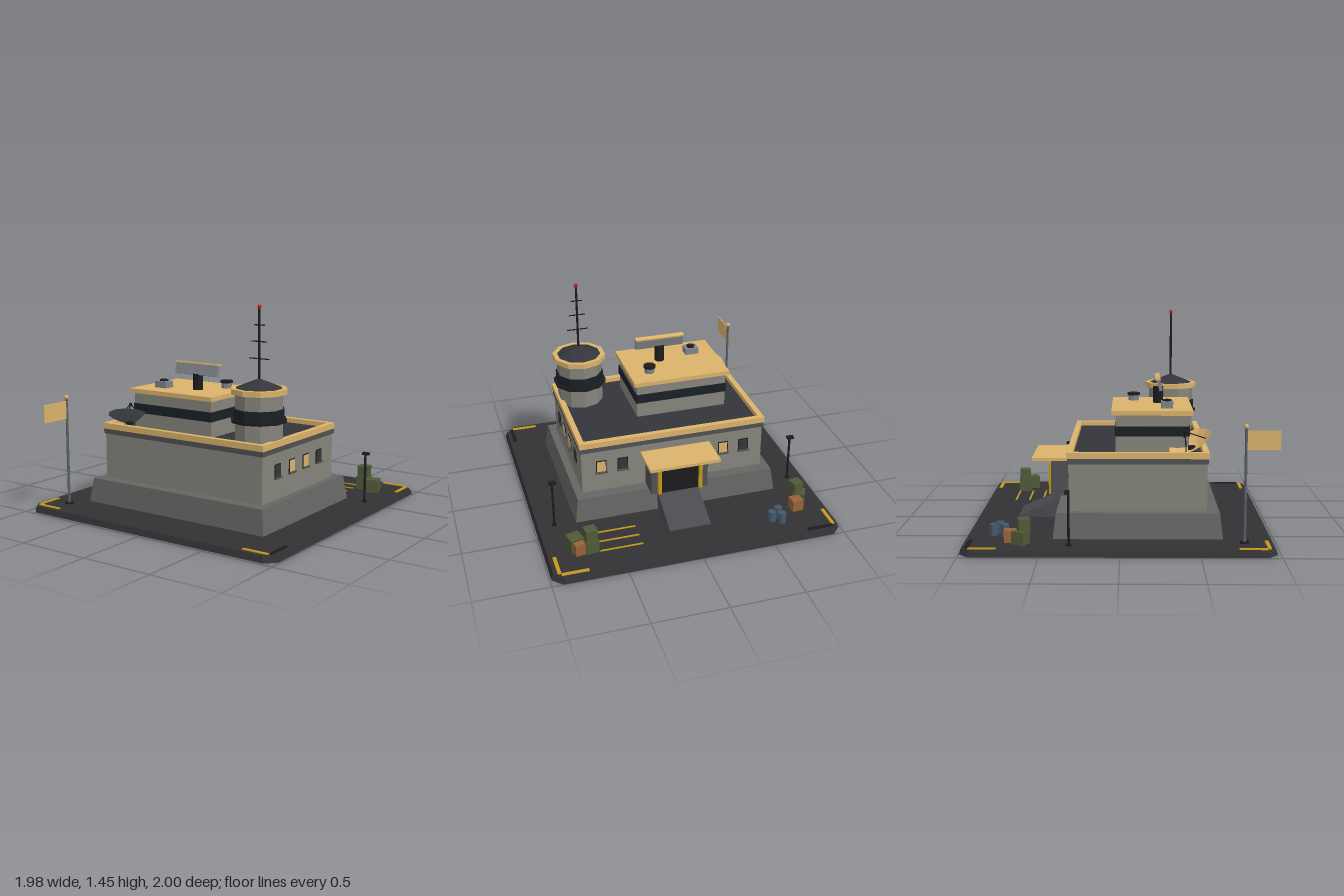
import * as THREE from 'three';

const mat = (color, side = THREE.FrontSide) =>
  new THREE.MeshStandardMaterial({ color, flatShading: true, side });

const M = {
  ground: mat(0x323234), plinth: mat(0x666563), wall: mat(0x85847c), trim: mat(0x505152),
  deck: mat(0x34353a), tan: mat(0xdbb36c), tanThin: mat(0xdbb36c, THREE.DoubleSide),
  glass: mat(0x1a2026), black: mat(0x1c1c1e), steel: mat(0x80848a), pole: mat(0x5c6066),
  yellow: mat(0xc4981c), red: mat(0xc81e1e), green: mat(0x4f5a38), brown: mat(0x9a6238),
  blue: mat(0x43586c), ramp: mat(0x4b4b4f), dishBack: mat(0x5c6064),
};

export function createModel() {
  const root = new THREE.Group();

  const add = (name, geo, material, x = 0, y = 0, z = 0, parent = root) => {
    const mesh = new THREE.Mesh(geo, material);
    mesh.name = name;
    mesh.position.set(x, y, z);
    parent.add(mesh);
    return mesh;
  };
  // box given by its x, y and z ranges
  const box = (name, m, x0, x1, y0, y1, z0, z1, parent) =>
    add(name, new THREE.BoxGeometry(x1 - x0, y1 - y0, z1 - z0), m,
      (x0 + x1) / 2, (y0 + y1) / 2, (z0 + z1) / 2, parent);
  // upright cylinder between two heights
  const cyl = (name, m, x, z, y0, y1, r, sides = 8, rTop = r, parent = root) =>
    add(name, new THREE.CylinderGeometry(rTop, r, y1 - y0, sides), m, x, (y0 + y1) / 2, z, parent);
  // narrow the upper vertices of a geometry
  const taper = (geo, sx, sz) => {
    const p = geo.attributes.position;
    geo.computeBoundingBox();
    const mid = (geo.boundingBox.min.y + geo.boundingBox.max.y) / 2;
    for (let i = 0; i < p.count; i++)
      if (p.getY(i) > mid) p.setXYZ(i, p.getX(i) * sx, p.getY(i), p.getZ(i) * sz);
    geo.computeVertexNormals();
    return geo;
  };
  const upright = (shape, depth) =>
    new THREE.ExtrudeGeometry(shape, { depth, bevelEnabled: false }).rotateX(-Math.PI / 2);

  // ground slab with cut corners
  const a = 0.99, c = 0.925;
  const slab = new THREE.Shape([[a, -c], [a, c], [c, a], [-c, a], [-a, c], [-a, -c], [-c, -a], [c, -a]]
    .map(([x, y]) => new THREE.Vector2(x, y)));
  add('groundSlab', taper(upright(slab, 0.04), 0.985, 0.985), M.ground, 0, 0, -0.01);

  // corner and parking markings
  for (const sx of [-1, 1]) for (const sz of [-1, 1]) {
    const x = sx * 0.94 - 0.003, z = sz * 0.94 - 0.012;
    const worn = sx * sz > 0;
    add('cornerMark', new THREE.BoxGeometry(0.18, 0.008, 0.024),
      worn && sx < 0 ? M.black : M.yellow, sx * 0.84 - 0.003, 0.042, z);
    add('cornerMark', new THREE.BoxGeometry(0.024, 0.008, 0.175),
      worn && sx > 0 ? M.black : M.yellow, x, 0.042, sz * 0.84 - 0.014);
  }
  for (const z of [-0.785, -0.685, -0.585]) box('parkingLine', M.yellow, 0.345, 0.635, 0.038, 0.045, z - 0.006, z + 0.006);

  // main building
  const cz = 0.113;
  add('plinth', taper(new THREE.BoxGeometry(1.44, 0.17, 1.09), 0.966, 0.963), M.plinth, 0, 0.12, cz);
  box('mainWalls', M.wall, -0.645, 0.645, 0.2, 0.515, cz - 0.446, cz + 0.446);
  box('roofTrim', M.trim, -0.655, 0.655, 0.515, 0.55, cz - 0.454, cz + 0.454);
  box('roofDeck', M.deck, -0.63, 0.63, 0.545, 0.558, cz - 0.43, cz + 0.43);
  const rect = (S, w, d) => new S([[-w, -d], [w, -d], [w, d], [-w, d]].map(([x, y]) => new THREE.Vector2(x, y)));
  const frame = rect(THREE.Shape, 0.658, 0.458);
  frame.holes.push(rect(THREE.Path, 0.62, 0.42));
  add('parapet', upright(frame, 0.04), M.tan, 0, 0.55, cz);

  // windows with sills, on the left side and the back
  const windowAt = (x, z, turn, lit) => {
    const g = new THREE.Group();
    g.name = 'window';
    g.position.set(x, 0.393, z);
    g.rotation.y = turn;
    root.add(g);
    add('windowFrame', new THREE.BoxGeometry(0.072, 0.09, 0.008), M.black, 0, 0, 0, g);
    add('windowPane', new THREE.BoxGeometry(0.06, 0.078, 0.012), lit ? M.tan : M.deck, 0, 0, 0, g);
    add('windowSill', new THREE.BoxGeometry(0.085, 0.009, 0.024), M.trim, 0, -0.046, 0.004, g);
  };
  [0.38, 0.205, 0.03, -0.145].forEach((z, i) => windowAt(0.646, z, Math.PI / 2, i === 1 || i === 2));
  [0.51, 0.36, -0.36, -0.51].forEach((x, i) => windowAt(x, cz - 0.447, Math.PI, i % 2 === 0));

  // rear entrance
  box('entranceBlock', M.trim, -0.2, 0.2, 0.2, 0.455, -0.48, -0.32);
  box('entranceDoor', M.black, -0.13, 0.13, 0.205, 0.41, -0.488, -0.47);
  for (const s of [-1, 1]) box('doorPost', M.yellow, s * 0.145 - 0.012, s * 0.145 + 0.012, 0.205, 0.42, -0.5, -0.475);
  box('doorLintel', M.yellow, -0.157, 0.157, 0.41, 0.428, -0.498, -0.475);
  box('canopy', M.tan, -0.247, 0.243, 0.455, 0.477, -0.605, -0.36);
  const wedge = new THREE.Shape([[0.41, 0.038], [0.71, 0.038], [0.71, 0.046], [0.43, 0.17], [0.41, 0.17]]
    .map(([x, y]) => new THREE.Vector2(x, y)));
  add('ramp', new THREE.ExtrudeGeometry(wedge, { depth: 0.29, bevelEnabled: false })
    .rotateY(Math.PI / 2), M.ramp, -0.15, 0, 0);

  // upper storey
  box('upperWalls', M.wall, -0.474, 0.172, 0.55, 0.81, -0.032, 0.447);
  box('upperWindowBand', M.glass, -0.48, 0.178, 0.665, 0.73, -0.038, 0.453);
  box('upperRoof', M.tan, -0.495, 0.195, 0.805, 0.835, -0.06, 0.475);

  // roof equipment
  cyl('radarPedestal', M.black, -0.075, 0.255, 0.83, 0.945, 0.035);
  const radar = new THREE.Group();
  radar.name = 'radarBar';
  radar.position.set(-0.075, 0.977, 0.26);
  radar.rotation.x = -0.25;
  root.add(radar);
  box('radarPanel', M.steel, -0.175, 0.175, -0.042, 0.034, -0.012, 0.012, radar);
  box('radarTopEdge', M.tan, -0.177, 0.177, 0.032, 0.044, -0.017, 0.017, radar);
  box('ventBox', M.steel, -0.374, -0.278, 0.83, 0.88, 0.268, 0.347);
  cyl('ventBoxCap', M.black, -0.326, 0.308, 0.875, 0.89, 0.03);
  cyl('roofVent', M.steel, 0.047, 0.087, 0.83, 0.875, 0.036);
  cyl('roofVentCap', M.black, 0.047, 0.087, 0.872, 0.888, 0.044);

  // watchtower
  const tx = 0.49, tz = 0.362;
  cyl('towerBody', M.wall, tx, tz, 0.55, 0.89, 0.16, 10);
  cyl('towerLedge', M.black, tx, tz, 0.695, 0.715, 0.186, 10);
  cyl('towerWindowBand', M.glass, tx, tz, 0.713, 0.782, 0.17, 10);
  cyl('towerRoofRim', M.tan, tx, tz, 0.878, 0.913, 0.187, 10);
  cyl('towerRoof', M.deck, tx, tz, 0.912, 0.97, 0.156, 10, 0.01);
  cyl('mast', M.black, tx, tz, 0.96, 1.425, 0.008, 6);
  [[1.1, 0.148], [1.21, 0.115], [1.315, 0.08]].forEach(([y, w]) =>
    add('mastCrossbar', new THREE.CylinderGeometry(0.004, 0.004, w, 6).rotateZ(Math.PI / 2), M.black, tx, y, tz));
  add('mastLight', new THREE.SphereGeometry(0.015, 6, 5), M.red, tx, 1.43, tz);

  // dish antenna, tilted back and to the right
  const dish = new THREE.Group();
  dish.name = 'dishAntenna';
  dish.position.set(-0.517, 0.638, 0.453);
  dish.quaternion.setFromUnitVectors(new THREE.Vector3(0, 1, 0), new THREE.Vector3(-0.25, 0.87, -0.42).normalize());
  root.add(dish);
  const bowl = [[0.002, -0.05], [0.05, -0.044], [0.1, -0.026], [0.15, 0]].map(([x, y]) => new THREE.Vector2(x, y));
  add('dishBack', new THREE.LatheGeometry(bowl, 12), M.dishBack, 0, 0, 0, dish);
  add('dishInside', new THREE.LatheGeometry(bowl.map((p) => new THREE.Vector2(p.x, p.y + 0.004)).reverse(), 12),
    M.tan, 0, 0, 0, dish);
  for (let i = 0; i < 3; i++) {
    const t = i * Math.PI * 2 / 3;
    const path = new THREE.LineCurve3(new THREE.Vector3(0.1 * Math.sin(t), -0.024, 0.1 * Math.cos(t)), new THREE.Vector3(0, 0.08, 0));
    add('feedStrut', new THREE.TubeGeometry(path, 1, 0.004, 5), M.black, 0, 0, 0, dish);
  }
  add('feedHorn', new THREE.SphereGeometry(0.013, 6, 5), M.black, 0, 0.08, 0, dish);
  cyl('dishMount', M.black, -0.51, 0.465, 0.55, 0.61, 0.025);

  // flag
  cyl('flagFoot', M.black, -0.795, 0.785, 0.038, 0.05, 0.03);
  cyl('flagPole', M.pole, -0.795, 0.785, 0.04, 0.78, 0.009);
  add('flagFinial', new THREE.SphereGeometry(0.016, 8, 6), M.tan, -0.795, 0.785, 0.785);
  box('flag', M.tanThin, -0.798, -0.792, 0.637, 0.76, 0.79, 1.0);

  // lamp posts
  for (const [x, z] of [[-0.87, -0.32], [0.865, -0.415]]) {
    cyl('lampFoot', M.black, x, z, 0.038, 0.05, 0.018);
    cyl('lampPost', M.black, x, z, 0.04, 0.38, 0.008, 6);
    box('lampHead', M.black, x - 0.024, x + 0.024, 0.374, 0.39, z - 0.024, z + 0.008);
  }

  // crates and barrels
  const crate = (m, x, y, z, s, turn) => {
    add('crate', new THREE.BoxGeometry(s, s, s), m, x, y + s / 2, z).rotation.y = turn;
  };
  crate(M.green, -0.825, 0.04, -0.625, 0.085, -0.45);
  crate(M.green, -0.805, 0.125, -0.607, 0.075, 0.3);
  crate(M.brown, -0.775, 0.04, -0.695, 0.078, 0.06);
  crate(M.green, 0.785, 0.04, -0.7, 0.092, 0.25);
  crate(M.green, 0.69, 0.04, -0.75, 0.09, 0.1);
  crate(M.green, 0.69, 0.13, -0.75, 0.078, 0.12);
  crate(M.brown, 0.765, 0.04, -0.755, 0.078, 0.15);
  for (const [x, z] of [[-0.62, -0.82], [-0.56, -0.785], [-0.62, -0.75]]) {
    cyl('barrel', M.blue, x, z, 0.04, 0.115, 0.027, 10);
    for (const y of [0.062, 0.09]) cyl('barrelHoop', M.blue, x, z, y, y + 0.005, 0.029, 10);
  }

  return root;
}
